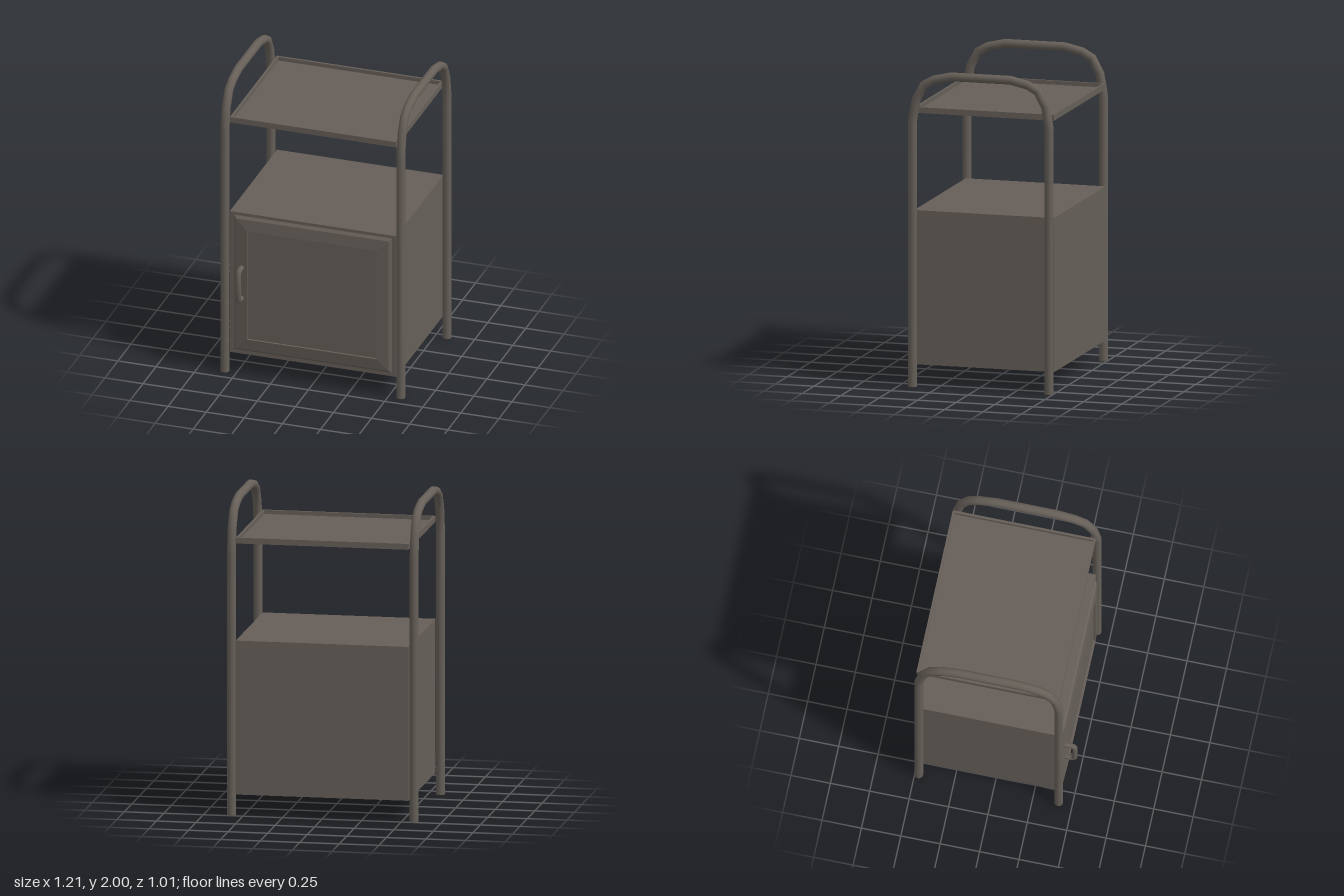
import * as THREE from 'three';

// Polyline as a curve: one tube ring per point, mitred at each bend
class PathCurve extends THREE.Curve {
  constructor(points) {
    super();
    this.points = points;
  }
  getPoint(t, target = new THREE.Vector3()) {
    const f = Math.min(Math.max(t, 0), 1) * (this.points.length - 1);
    const i = Math.min(Math.floor(f), this.points.length - 2);
    return target.lerpVectors(this.points[i], this.points[i + 1], f - i);
  }
  getPointAt(u, target) {
    return this.getPoint(u, target);
  }
  getTangentAt(u, target = new THREE.Vector3()) {
    const p = this.points;
    const i = Math.round(u * (p.length - 1));
    const dir = (a, b) => new THREE.Vector3().subVectors(p[b], p[a]).normalize();
    target.set(0, 0, 0);
    if (i > 0) target.add(dir(i - 1, i));
    if (i < p.length - 1) target.add(dir(i, i + 1));
    return target.normalize();
  }
}

// Rectangular slab from stacked rings [halfWidth, halfHeight, z], capped at both ends
function ringSlab(rings) {
  const signs = [[1, 1], [-1, 1], [-1, -1], [1, -1]];
  const pos = [];
  const corner = (i, k) => {
    const [w, h, z] = rings[i];
    return [signs[k % 4][0] * w, signs[k % 4][1] * h, z];
  };
  const quad = (a, b, c, d) => pos.push(...a, ...b, ...c, ...a, ...c, ...d);
  const last = rings.length - 1;
  for (let i = 0; i < last; i++)
    for (let k = 0; k < 4; k++)
      quad(corner(i, k), corner(i, k + 1), corner(i + 1, k + 1), corner(i + 1, k));
  quad(corner(0, 3), corner(0, 2), corner(0, 1), corner(0, 0));
  quad(corner(last, 0), corner(last, 1), corner(last, 2), corner(last, 3));
  const geo = new THREE.BufferGeometry();
  geo.setAttribute('position', new THREE.Float32BufferAttribute(pos, 3));
  geo.computeVertexNormals();
  return geo;
}

// Points given as [z, y] in the plane x = 0
function tube(points, radius, sides) {
  const path = points.map(([z, y]) => new THREE.Vector3(0, y, z));
  return new THREE.TubeGeometry(new PathCurve(path), path.length - 1, radius, sides, false);
}

export function createModel() {
  const model = new THREE.Group();
  model.name = 'sideCabinet';
  const metal = new THREE.MeshStandardMaterial({ color: 0x665f58 });
  metal.name = 'warm grey metal';

  const add = (name, geo, x, y, z, parent = model) => {
    const mesh = new THREE.Mesh(geo, metal);
    mesh.name = name;
    mesh.position.set(x, y, z);
    parent.add(mesh);
    return mesh;
  };

  const midZ = -0.031; // centre between front and back legs

  // Bent tube frames: two legs joined by a rounded top rail
  const half = [[0.444, 0], [0.444, 1.66], [0.442, 1.69], [0.42, 1.815], [0.37, 1.91], [0.303, 1.947], [0.19, 1.972]];
  const hoop = [...half, ...half.map(([z, y]) => [-z, y]).reverse()];
  for (const side of [1, -1]) {
    const frame = new THREE.Group();
    frame.name = side > 0 ? 'leftFrame' : 'rightFrame';
    frame.position.set(side * 0.577, 0, midZ);
    model.add(frame);
    add('frameTube', tube(hoop, 0.028, 16), 0, 0, 0, frame);
    for (const z of [0.444, -0.444])
      add('legEnd', new THREE.CircleGeometry(0.028, 16).rotateX(Math.PI / 2), 0, 0, z, frame);
  }

  // Cabinet body
  const bodyZ = -0.043;
  add('cabinetBody', new THREE.BoxGeometry(1.092, 0.975, 0.908), 0, 0.6225, bodyZ);

  // Top tray with a raised rim
  const tray = ringSlab([
    [0.546, 0.454, 0], [0.546, 0.454, 0.037],
    [0.531, 0.439, 0.037], [0.531, 0.439, 0.012],
  ]).rotateX(-Math.PI / 2);
  add('tray', tray, 0, 1.725, bodyZ);

  // Door with bevelled edge, sloping frame and recessed panel
  const door = ringSlab([
    [0.518, 0.466, 0], [0.501, 0.449, 0.017],
    [0.425, 0.375, 0.026], [0.425, 0.375, 0.012],
  ]);
  add('door', door, 0, 0.625, 0.41);

  // Door handle
  const grip = [[0.42, 0.105], [0.466, 0.105], [0.482, 0.098], [0.491, 0.082]];
  const handle = [...grip, ...grip.map(([z, y]) => [z, -y]).reverse()];
  add('doorHandle', tube(handle, 0.017, 12), -0.462, 0.635, 0);

  return model;
}
